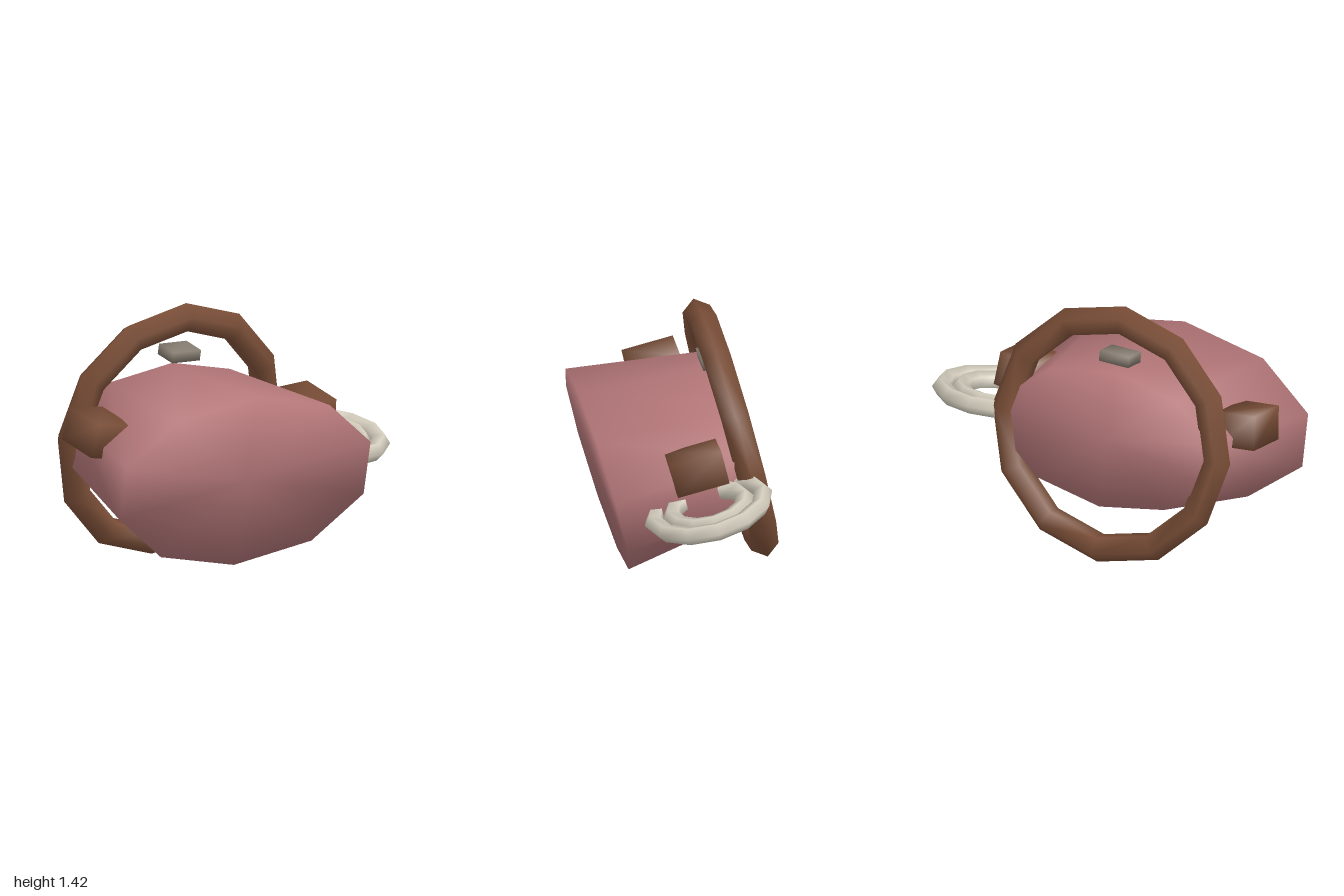
import * as THREE from 'three';
import { mergeVertices } from 'three/addons/utils/BufferGeometryUtils.js';

const paint = (color) => new THREE.MeshStandardMaterial({ color, side: THREE.DoubleSide });

// Weld all corners so the low-poly shape shades smoothly
function soften(geometry) {
  geometry.deleteAttribute('normal');
  geometry.deleteAttribute('uv');
  const welded = mergeVertices(geometry, 1e-4);
  welded.computeVertexNormals();
  return welded;
}

export function createModel() {
  const brown = paint(0x7a4e37);
  const pink = paint(0xb37678);
  const cream = paint(0xd2ccbc);
  const grey = paint(0x857c70);

  // Everything leans forward around the handle hoop's centre
  const model = new THREE.Group();
  const bag = new THREE.Group();
  bag.name = 'bag';
  bag.position.set(-0.2, 0.715, -0.305);
  bag.rotation.x = 0.227;
  model.add(bag);

  const add = (name, geometry, material, x = 0, y = 0, z = 0) => {
    const mesh = new THREE.Mesh(geometry, material);
    mesh.name = name;
    mesh.position.set(x, y, z);
    bag.add(mesh);
    return mesh;
  };

  // Ten-sided oval pouch, narrower at the back
  const pouch = new THREE.CylinderGeometry(1, 0.785, 0.81, 10).rotateX(Math.PI / 2).scale(0.841, 0.488, 1);
  add('pouch', soften(pouch), pink, 0, -0.02, 0.354);

  // Large five-sided hoop behind the pouch
  add('hoop', new THREE.TorusGeometry(0.649, 0.081, 5, 12), brown);

  // Small clasp inside the hoop
  add('clasp', soften(new THREE.BoxGeometry(0.18, 0.06, 0.145)), grey, 0, 0.445, 0);

  // Blocks on both shoulders
  for (const side of [-1, 1]) {
    const block = add(side > 0 ? 'leftBlock' : 'rightBlock',
      soften(new THREE.BoxGeometry(0.225, 0.19, 0.29)), brown, side * 0.678, 0.147, 0.276);
    block.rotation.z = side * 0.1;
  }

  // Two nested rings whose ends sink into the left side
  for (const [name, radius] of [['outerRing', 0.308], ['innerRing', 0.205]]) {
    const arc = new THREE.TorusGeometry(radius, 0.052, 5, 10, Math.PI * 5 / 3);
    arc.rotateZ(-Math.PI * 5 / 6).rotateX(Math.PI / 2);
    add(name, arc, cream, 0.84, -0.025, 0.278);
  }

  return model;
}
